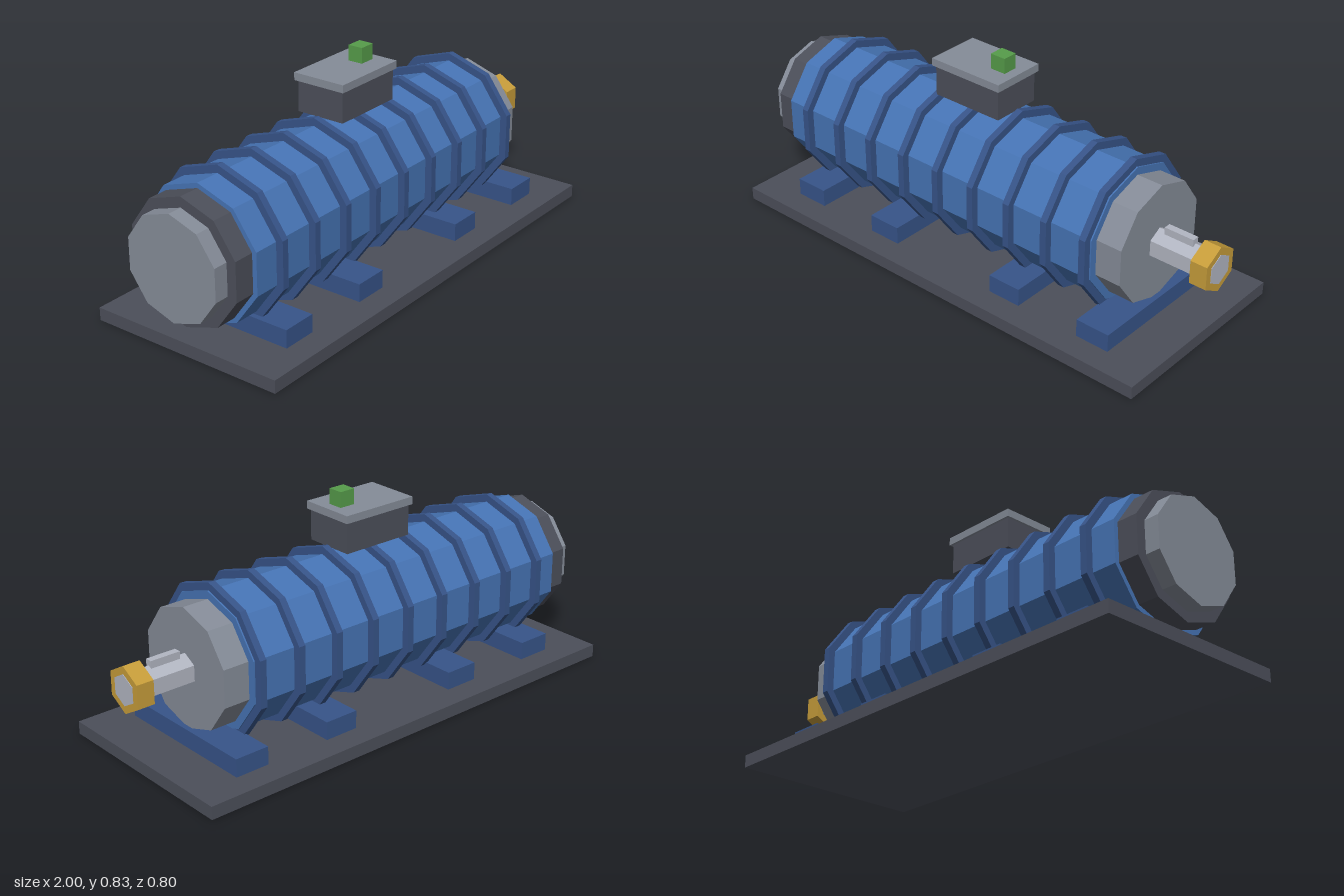
import * as THREE from 'three';

export function createModel() {
  const model = new THREE.Group();
  model.name = 'electricMotor';

  const material = (name, color) => {
    const m = new THREE.MeshStandardMaterial({ color, flatShading: true });
    m.name = name;
    return m;
  };
  const blue = material('casing blue', 0x4674b5);
  const darkBlue = material('rib blue', 0x375489);
  const charcoal = material('charcoal', 0x4c4f5a);
  const grey = material('grey', 0x858c98);
  const steel = material('steel', 0xb2b6c2);
  const gold = material('gold', 0xc79d3a);
  const green = material('green', 0x569c4a);

  const axisY = 0.343;

  const add = (name, geometry, mat) => {
    const mesh = new THREE.Mesh(geometry, mat);
    mesh.name = name;
    model.add(mesh);
    return mesh;
  };

  // Box given by its limits in x and y, and its half depth in z
  const box = (name, x0, x1, y0, y1, halfZ, mat) =>
    add(name, new THREE.BoxGeometry(x1 - x0, y1 - y0, halfZ * 2), mat)
      .position.set((x0 + x1) / 2, (y0 + y1) / 2, 0);

  // Prism along x with one corner pointing straight up
  const prism = (name, x0, x1, radius, sides, mat) => {
    const g = new THREE.CylinderGeometry(radius, radius, x1 - x0, sides);
    g.rotateY(Math.PI / 2).rotateZ(Math.PI / 2);
    add(name, g, mat).position.set((x0 + x1) / 2, axisY, 0);
  };

  // Base plate and mounting feet
  box('basePlate', -0.96, 0.945, 0, 0.05, 0.4, charcoal);
  for (const x of [-0.712, -0.309, 0.294, 0.697]) {
    box('foot', x - 0.069, x + 0.069, 0.05, 0.12, 0.302, darkBlue);
  }

  // Ten-sided casing, cooling ribs and end caps
  prism('casing', -0.86, 0.64, 0.261, 10, blue);
  for (let i = 0; i < 9; i++) {
    const x = -0.747 + i * 0.171;
    prism('coolingRib', x - 0.0135, x + 0.0135, 0.291, 10, darkBlue);
  }
  prism('driveEndCap', 0.64, 0.745, 0.231, 10, grey);
  prism('rearCap', -0.942, -0.86, 0.242, 10, charcoal);
  prism('fanCover', -1, -0.942, 0.202, 10, grey);

  // Drive shaft with key and hexagonal collar
  prism('driveShaft', 0.745, 1, 0.06, 6, steel);
  prism('shaftCollar', 0.93, 0.998, 0.09, 6, gold);
  box('shaftKey', 0.775, 0.895, 0.385, 0.423, 0.014, steel);

  // Terminal box on top
  box('terminalBox', -0.21, 0.09, 0.625, 0.745, 0.1, charcoal);
  box('terminalLid', -0.22, 0.1, 0.745, 0.775, 0.11, grey);
  box('indicator', -0.005, 0.06, 0.775, 0.835, 0.03, green);

  return model;
}
